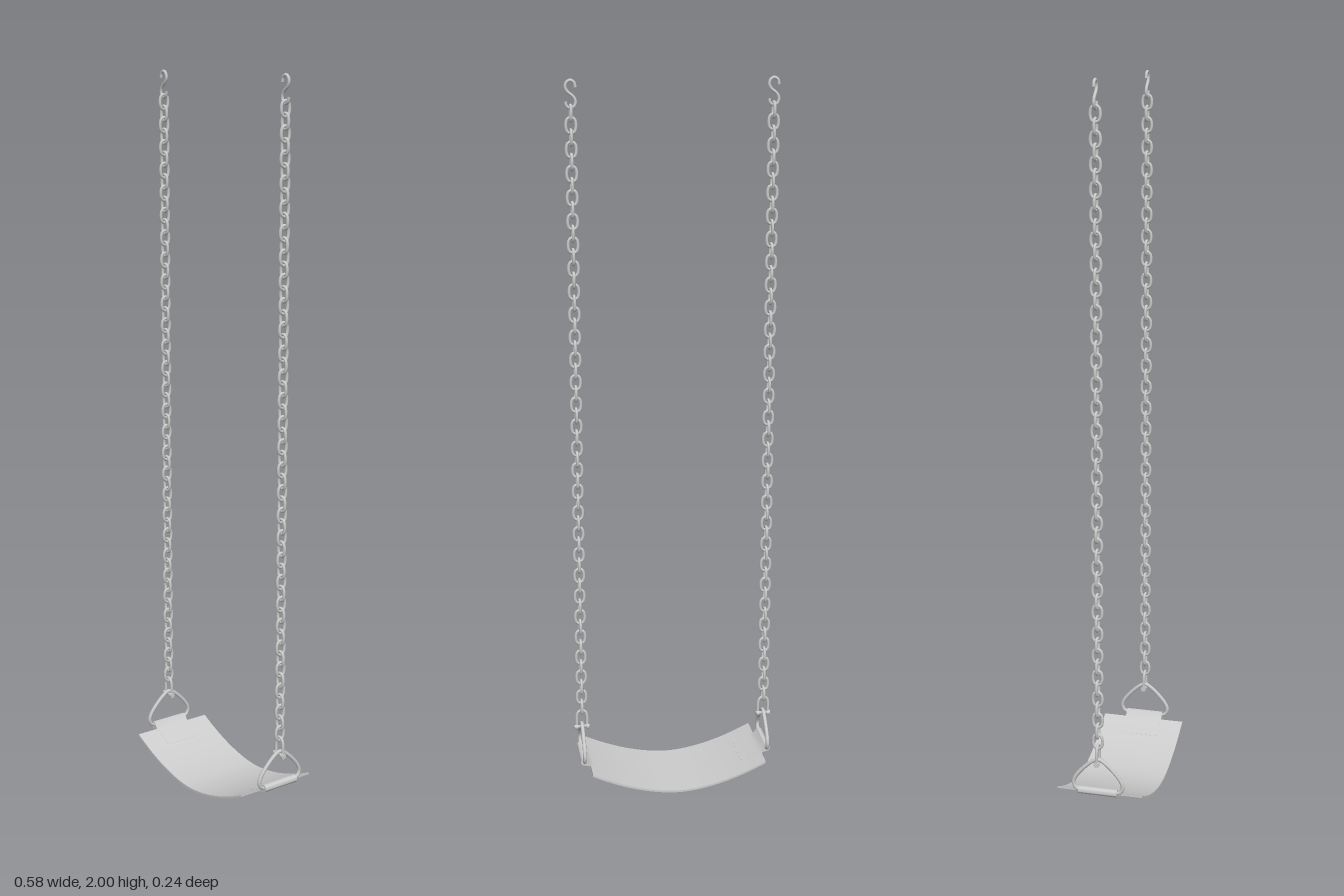
import * as THREE from 'three';
import { toCreasedNormals } from 'three/addons/utils/BufferGeometryUtils.js';

const SIDE_X = 0.2665;      // x of each chain
const SEAT_HALF = 0.25;
const SEAT_THICK = 0.006;
const BAR_Y = 0.084;        // bottom bar of the hanger ring
const LINK_PITCH = 0.0311;
const LINK_COUNT = 55;

const material = new THREE.MeshStandardMaterial({ color: 0xcccccc, roughness: 0.6 });

function mesh(name, geometry) {
  const m = new THREE.Mesh(geometry, material);
  m.name = name;
  return m;
}

// Round wire through a few points
function wire(points, radius, segments, closed = false) {
  const curve = new THREE.CatmullRomCurve3(points.map(p => new THREE.Vector3(...p)), closed, 'centripetal');
  return new THREE.TubeGeometry(curve, segments, radius, 8, closed);
}

// Extrude an XY outline to a width centred on z = 0
function band(points, width) {
  const shape = new THREE.Shape(points.map(p => new THREE.Vector2(...p)));
  const geo = new THREE.ExtrudeGeometry(shape, { depth: width, bevelEnabled: false });
  geo.translate(0, 0, -width / 2);
  return toCreasedNormals(geo, 0.6);
}

// Underside height of the sagging seat
const sag = x => 0.071 * Math.pow(Math.abs(x) / SEAT_HALF, 1.8);

function seatGeometry() {
  const lower = [], upper = [];
  const n = 32;
  for (let i = 0; i <= n; i++) {
    const x = -SEAT_HALF + (2 * SEAT_HALF * i) / n;
    lower.push([x, sag(x)]);
    upper.unshift([x, sag(x) + SEAT_THICK]);
  }
  return band([...lower, ...upper], 0.242);
}

// Strap that hugs the seat end and wraps around the ring's bottom bar
function strapGeometry() {
  const lower = [], upper = [], loop = [];
  for (let i = 0; i <= 6; i++) {
    const x = 0.19 + (0.06 * i) / 6;
    lower.push([x, sag(x) - 0.002]);
    upper.unshift([x, sag(x) + SEAT_THICK + 0.0005]);
  }
  for (let i = 0; i <= 10; i++) {
    const a = -1.1 + (3.1 * i) / 10;
    loop.push([SIDE_X + 0.0105 * Math.cos(a), BAR_Y + 0.0105 * Math.sin(a)]);
  }
  return band([...lower, ...loop, ...upper], 0.11);
}

// Oval chain link in the XY plane
function linkGeometry() {
  const w = 0.0125, h = 0.0202;
  const points = [];
  for (const [cy, start] of [[h - w, 0], [w - h, Math.PI]]) {
    for (let i = 0; i <= 4; i++) {
      const a = start + (Math.PI * i) / 4;
      points.push([w * Math.cos(a), cy + w * Math.sin(a), 0]);
    }
  }
  return wire(points, 0.0042, 24, true);
}

// Rounded triangular hanger ring in the YZ plane
function ringGeometry() {
  const half = [[0.05, BAR_Y], [0.064, 0.09], [0.07, 0.105], [0.062, 0.126], [0.02, 0.17]];
  const right = half.map(([z, y]) => [0, y, z]);
  const left = half.map(([z, y]) => [0, y, -z]).reverse();
  return wire([...right, [0, 0.18, 0], ...left], 0.0055, 64, true);
}

// S-shaped hook in the XY plane
function hookGeometry() {
  return wire([
    [-0.013, 1.978, 0], [-0.010, 1.990, 0], [0, 1.9958, 0], [0.010, 1.990, 0],
    [0.013, 1.979, 0], [0.008, 1.968, 0], [-0.008, 1.954, 0], [-0.013, 1.942, 0],
    [-0.010, 1.931, 0], [0, 1.925, 0], [0.010, 1.931, 0], [0.013, 1.943, 0],
  ], 0.0042, 40);
}

// U-shaped shackle with a cross bolt
function shackle() {
  const group = new THREE.Group();
  group.name = 'shackle';
  group.add(mesh('shackleBow', wire([
    [-0.0145, 0.170, 0], [-0.0145, 0.205, 0], [-0.010, 0.217, 0], [0, 0.222, 0],
    [0.010, 0.217, 0], [0.0145, 0.205, 0], [0.0145, 0.170, 0],
  ], 0.0042, 28)));
  const bolt = mesh('shackleBolt', new THREE.CylinderGeometry(0.0045, 0.0045, 0.043, 10));
  bolt.rotation.z = Math.PI / 2;
  bolt.position.y = 0.171;
  group.add(bolt);
  for (const s of [-1, 1]) {
    const eye = mesh('shackleEye', new THREE.CylinderGeometry(0.008, 0.008, 0.008, 12));
    eye.rotation.z = Math.PI / 2;
    eye.position.set(s * 0.0155, 0.171, 0);
    group.add(eye);
  }
  return group;
}

export function createModel() {
  const model = new THREE.Group();
  model.name = 'swing';
  model.add(mesh('seat', seatGeometry()));

  const link = linkGeometry(), ring = ringGeometry();
  const hook = hookGeometry(), strap = strapGeometry();

  for (const side of [1, -1]) {
    const hanger = new THREE.Group();
    hanger.name = side > 0 ? 'leftHanger' : 'rightHanger';
    hanger.position.x = side * SIDE_X;
    hanger.add(mesh('hook', hook), mesh('hangerRing', ring), shackle());

    // Links alternate by a quarter turn
    const chain = new THREE.Group();
    chain.name = 'chain';
    for (let i = 0; i < LINK_COUNT; i++) {
      const l = mesh('chainLink', link);
      l.position.y = 1.913 - i * LINK_PITCH;
      l.rotation.y = i % 2 === 0 ? Math.PI / 2 : 0;
      chain.add(l);
    }
    hanger.add(chain);
    model.add(hanger);

    const s = mesh(side > 0 ? 'leftStrap' : 'rightStrap', strap);
    s.rotation.y = side > 0 ? 0 : Math.PI;
    model.add(s);
  }
  return model;
}
